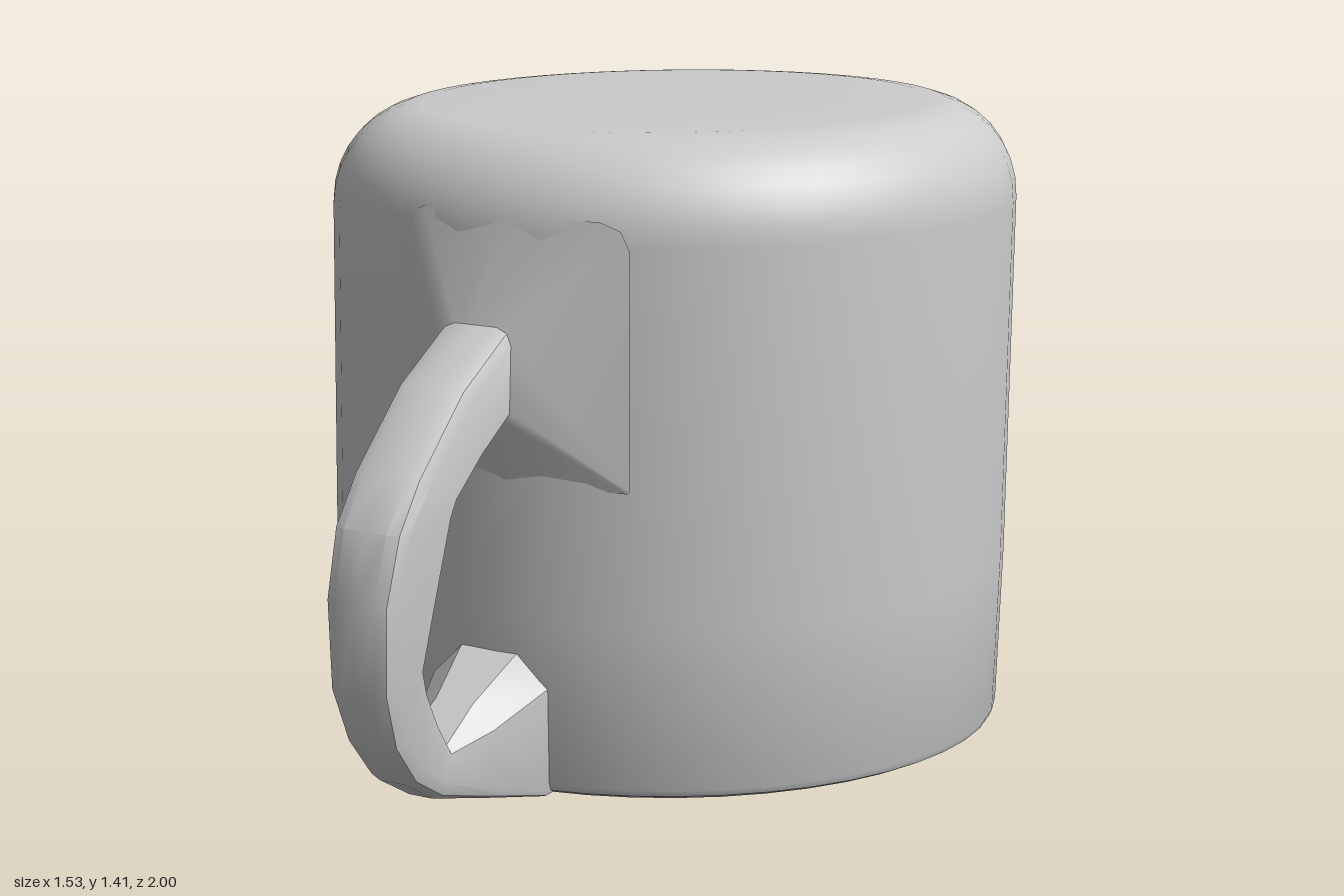
import * as THREE from 'three';
import { toCreasedNormals } from 'three/addons/utils/BufferGeometryUtils.js';

const material = new THREE.MeshStandardMaterial({ color: 0xcccccc });

// Skin a row of equal-length rings of Vector3
function loft(rings) {
  const n = rings[0].length, index = [];
  for (let i = 0; i < rings.length - 1; i++) {
    for (let j = 0; j < n; j++) {
      const a = i * n + j, b = i * n + (j + 1) % n;
      index.push(a, b, b + n, a, b + n, a + n);
    }
  }
  const g = new THREE.BufferGeometry().setFromPoints(rings.flat());
  g.setIndex(index);
  return toCreasedNormals(g, 0.5);
}

// Bevelled cross-section between an inner and an outer [z, y] point;
// bulge bows the section forward in the middle to follow the round wall
function section([inner, outer, x0, x1, bi = 0.015, bo = 0.035, bulge = 0]) {
  const len = Math.hypot(outer[0] - inner[0], outer[1] - inner[1]);
  const mid = (x0 + x1) / 2, half = (x1 - x0) / 2;
  const at = (x, d) => new THREE.Vector3(x,
    inner[1] + (outer[1] - inner[1]) * d / len,
    inner[0] + (outer[0] - inner[0]) * d / len + bulge * (1 - ((x - mid) / half) ** 2));
  const k = 0.3; // middle of each outer bevel, pushed out to round it
  return [
    at(mid, 0), at(x1 - bi, 0), at(x1, bi),
    at(x1, len - bo), at(x1 - bo * k, len - bo * k), at(x1 - bo, len), at(mid, len),
    at(x0 + bo, len), at(x0 + bo * k, len - bo * k), at(x0, len - bo),
    at(x0, bi), at(x0 + bi, 0),
  ];
}

// Upturned cup, open at the bottom, standing slightly crooked
function makeCup() {
  const profile = [[0, 1.325], [0.48, 1.325]];
  const arc = (cx, cy, rx, ry, from, to, steps) => {
    for (let i = 0; i <= steps; i++) {
      const t = from + (to - from) * i / steps;
      profile.push([cx + rx * Math.cos(t), cy + ry * Math.sin(t)]);
    }
  };
  arc(0.525, 1.175, 0.15, 0.15, Math.PI / 2, 0, 5);              // inside corner
  profile.push([0.675, 0.08]);
  arc(0.714, 0.045, 0.036, 0.025, Math.PI, Math.PI * 2, 5);      // rim
  profile.push([0.757, 0.4]);
  arc(0.56, 1.2, 0.197, 0.212, 0, Math.PI / 2, 8);               // rounded shoulder
  profile.push([0.3, 1.413], [0, 1.413]);
  const g = new THREE.LatheGeometry(profile.map(p => new THREE.Vector2(...p)), 48);
  const pos = g.attributes.position;
  for (let i = 0; i < pos.count; i++) {
    const x = pos.getX(i), y = pos.getY(i), z = pos.getZ(i);
    const low = 1 - y / 1.413;
    pos.setXYZ(i, x * 1.003 - 0.013 * low, y + 0.016 * x + 0.012 * z * low, z * 0.992);
  }
  const cup = new THREE.Mesh(toCreasedNormals(g, 0.6), material);
  cup.name = 'cup';
  cup.position.z = -0.25;
  return cup;
}

// Handle with a broad flare where it meets the wall at each end
function makeHandle() {
  const stations = [
    [[0.452, 0.70], [0.45, 1.26], -0.26, 0.28, 0.005, 0.06, 0.044], // upper flare
    [[0.56, 0.85], [0.55, 1.04], -0.11, 0.06],
    [[0.66, 0.79], [0.72, 0.95], -0.11, 0.06],
    [[0.75, 0.725], [0.89, 0.80], -0.11, 0.06],
    [[0.77, 0.70], [0.965, 0.70], -0.11, 0.06],
    [[0.81, 0.55], [1.0, 0.56], -0.11, 0.05],
    [[0.85, 0.40], [0.99, 0.37], -0.11, 0.04],
    [[0.825, 0.35], [0.94, 0.245], -0.105, 0.03],
    [[0.78, 0.27], [0.86, 0.15], -0.105, 0.025],
    [[0.735, 0.20], [0.76, 0.09], -0.10, 0.025],
    [[0.63, 0.26], [0.63, 0.06], -0.13, 0.06, 0.05, 0.02],
    [[0.50, 0.335], [0.49, 0.03], -0.17, 0.105, 0.07, 0.01], // lower flare
    [[0.45, 0.335], [0.45, 0.03], -0.17, 0.105, 0.07, 0.01],
  ];
  const handle = new THREE.Mesh(loft(stations.map(section)), material);
  handle.name = 'handle';
  return handle;
}

export function createModel() {
  const model = new THREE.Group();
  model.name = 'upturnedMug';
  model.add(makeCup(), makeHandle());
  return model;
}
